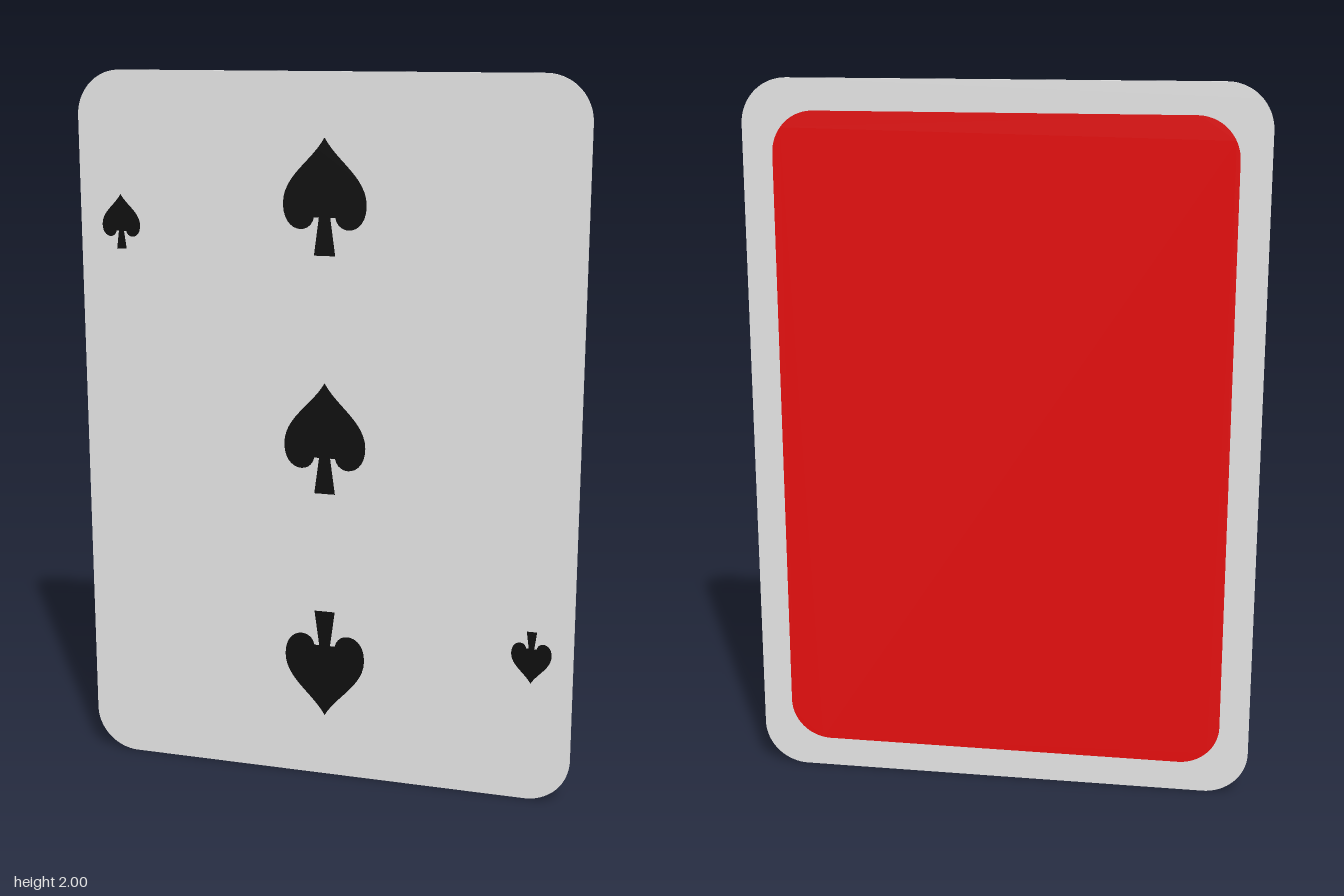
import * as THREE from 'three';

const WIDTH = 1.42, HEIGHT = 2, THICK = 0.008;

function roundedRect(w, h, r) {
  const x = w / 2, y = h / 2, s = new THREE.Shape();
  s.absarc(x - r, y - r, r, 0, Math.PI / 2);
  s.absarc(-x + r, y - r, r, Math.PI / 2, Math.PI);
  s.absarc(-x + r, -y + r, r, Math.PI, Math.PI * 1.5);
  s.absarc(x - r, -y + r, r, Math.PI * 1.5, Math.PI * 2);
  s.closePath();
  return s;
}

// Spade outline centred on its own middle, 0.315 tall
function spadeShape() {
  const s = new THREE.Shape();
  s.moveTo(0, 0.158);
  s.bezierCurveTo(-0.035, 0.095, -0.117, 0.055, -0.117, -0.02);
  s.bezierCurveTo(-0.117, -0.1, -0.04, -0.105, -0.03, -0.055);
  s.lineTo(-0.016, -0.055);
  s.lineTo(-0.03, -0.158);
  s.lineTo(0.03, -0.158);
  s.lineTo(0.016, -0.055);
  s.lineTo(0.03, -0.055);
  s.bezierCurveTo(0.04, -0.105, 0.117, -0.1, 0.117, -0.02);
  s.bezierCurveTo(0.117, 0.055, 0.035, 0.095, 0, 0.158);
  return s;
}

export function createModel() {
  const card = new THREE.Group();
  card.name = 'playingCard';
  const paper = new THREE.MeshStandardMaterial({ color: 0xeeeeee });
  paper.name = 'paperWhite';
  const red = new THREE.MeshStandardMaterial({ color: 0xeb0f0f });
  red.name = 'backRed';
  const black = new THREE.MeshStandardMaterial({ color: 0x0f0f0f });
  black.name = 'pipBlack';

  const add = (name, geometry, material, x, y, z) => {
    const mesh = new THREE.Mesh(geometry, material);
    mesh.name = name;
    mesh.position.set(x, y, z);
    card.add(mesh);
    return mesh;
  };

  // Card body
  const body = new THREE.ExtrudeGeometry(roundedRect(WIDTH, HEIGHT, 0.125), {
    depth: THICK, bevelEnabled: false, curveSegments: 12,
  });
  body.translate(0, 0, -THICK / 2);
  add('cardBody', body, paper, 0, HEIGHT / 2, 0);

  // Coloured panel on the back
  const panel = new THREE.ShapeGeometry(roundedRect(WIDTH - 0.166, HEIGHT - 0.172, 0.115), 12);
  add('backPanel', panel, red, 0, HEIGHT / 2, -THICK / 2 - 0.001).rotation.y = Math.PI;

  // Pips on the face: name, x, y, scale, upside down
  const spade = new THREE.ShapeGeometry(spadeShape(), 12);
  for (const [name, x, y, scale, flipped] of [
    ['topPip', 0, 1.67, 1, false],
    ['middlePip', 0, 1.003, 1, false],
    ['bottomPip', 0, 0.34, 1, true],
    ['upperCornerPip', -0.59, 1.587, 0.48, false],
    ['lowerCornerPip', 0.594, 0.422, 0.48, true],
  ]) {
    const pip = add(name, spade, black, x, y, THICK / 2 + 0.001);
    pip.scale.set(scale, scale, 1);
    if (flipped) pip.rotation.z = Math.PI;
  }
  return card;
}
